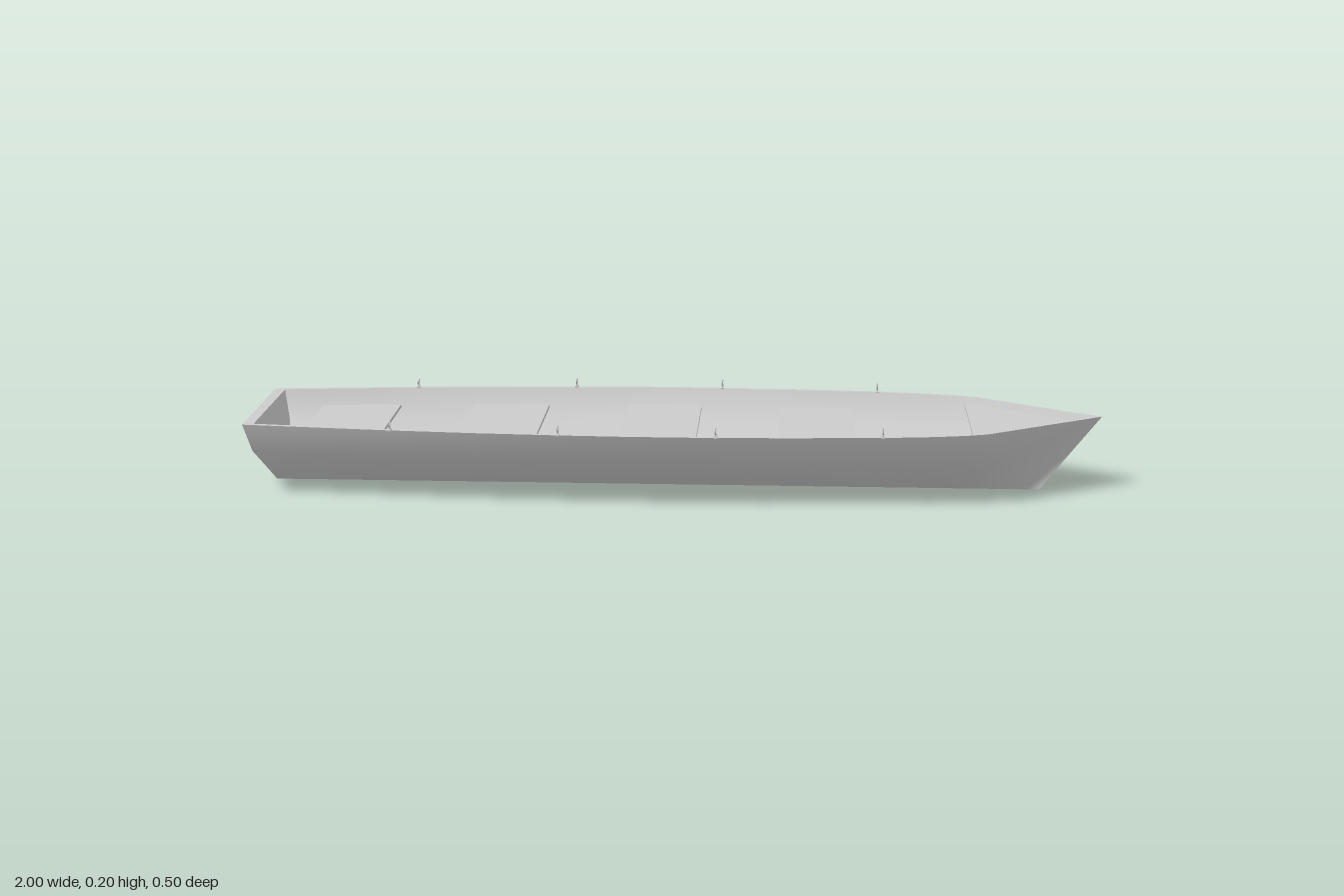
import * as THREE from 'three';
import { toCreasedNormals } from 'three/addons/utils/BufferGeometryUtils.js';

const material = new THREE.MeshStandardMaterial({ color: 0xcccccc, side: THREE.DoubleSide });
const TOP = 0.18, CHINE = 0.11;

// gunwale stations: [x, half width]
const stations = [[-1, 0.18], [-0.82, 0.198], [-0.65, 0.215], [-0.45, 0.23], [-0.26, 0.24], [-0.1, 0.245], [0.06, 0.245],
  [0.25, 0.239], [0.48, 0.225], [0.6, 0.21], [0.67, 0.196], [0.72, 0.18]];

function halfWidth(x) {
  const i = Math.max(1, stations.findIndex((s) => s[0] >= x));
  const [a, b] = [stations[i - 1], stations[i]];
  return THREE.MathUtils.mapLinear(x, a[0], b[0], a[1], b[1]);
}

// cross-sections from stern to stem: left gunwale, left chine, keel, right chine, right gunwale
function hullRows(inset) {
  const section = (xs, g, c) => [
    [xs[0], TOP, g], [xs[1], CHINE, c], [xs[2], inset * 1.2, 0], [xs[1], CHINE, -c], [xs[0], TOP, -g],
  ];
  const last = stations.length - 1;
  const rows = stations.map(([x, w], i) => {
    if (i === 0) return section([x, x + 0.015, x + 0.035].map((v) => v + inset * 2.5), w - inset, w * 0.85 - inset);
    if (i === last) return section([x, 0.77, 0.83 - inset], w - inset, 0.125 - inset);
    return section([x, x, x], w - inset, w * 0.85 - inset);
  });
  rows.push(section([1, 0.945, 0.86].map((v) => v - inset * 2), 0, 0));
  return rows;
}

// surface through rows of points
function grid(name, rows, flip) {
  const n = rows[0].length, index = [];
  for (let i = 0; i < rows.length - 1; i++) {
    for (let j = 0; j < n - 1; j++) {
      const a = i * n + j, b = a + n, c = a + 1, d = b + 1;
      if (flip) index.push(a, b, c, c, b, d);
      else index.push(a, c, b, c, d, b);
    }
  }
  const geometry = new THREE.BufferGeometry();
  geometry.setAttribute('position', new THREE.Float32BufferAttribute(rows.flat(2), 3));
  geometry.setIndex(index);
  const mesh = new THREE.Mesh(toCreasedNormals(geometry, 0.85), material);
  mesh.name = name;
  return mesh;
}

// flat board from an outline of [x, z] points, top at the given height
function board(name, outline, top, thickness) {
  const shape = new THREE.Shape(outline.map(([x, z]) => new THREE.Vector2(x, -z)));
  const geometry = new THREE.ExtrudeGeometry(shape, { depth: thickness, bevelEnabled: false });
  geometry.rotateX(-Math.PI / 2).translate(0, top - thickness, 0);
  const mesh = new THREE.Mesh(geometry, material);
  mesh.name = name;
  return mesh;
}

function oarlock(x, side) {
  const group = new THREE.Group();
  group.name = 'oarlock';
  const add = (name, geometry, y) => {
    const mesh = new THREE.Mesh(geometry, material);
    mesh.name = name;
    mesh.position.y = y;
    group.add(mesh);
    return mesh;
  };
  add('oarlockPlate', new THREE.BoxGeometry(0.008, 0.003, 0.02), 0.001);
  add('oarlockPin', new THREE.CylinderGeometry(0.002, 0.002, 0.01, 8), 0.004);
  const horns = add('oarlockHorns', new THREE.TorusGeometry(0.01, 0.0018, 6, 12, Math.PI), 0.018);
  horns.rotation.set(0, Math.PI / 2, Math.PI);
  group.position.set(x, TOP, side * (halfWidth(x) - 0.004));
  return group;
}

export function createModel() {
  const boat = new THREE.Group();
  boat.name = 'rowingBoat';

  // hull shells and the rim joining them
  const outer = hullRows(0), inner = hullRows(0.01);
  boat.add(grid('outerHull', outer, false), grid('innerHull', inner, true));
  boat.add(grid('leftGunwale', outer.map((r, i) => [r[0], inner[i][0]]), true));
  boat.add(grid('rightGunwale', outer.map((r, i) => [inner[i][4], r[4]]), true));

  // stern wall
  const wall = (r) => [[r[0], r[1], r[2]], [r[4], r[3], r[2]]];
  boat.add(grid('outerTransom', wall(outer[0]), true), grid('innerTransom', wall(inner[0]), false));
  boat.add(grid('transomRim', [[outer[0][0], outer[0][4]], [inner[0][0], inner[0][4]]], true));

  // benches, cut to the hull's width
  for (const [x0, x1] of [[-0.88, -0.69], [-0.51, -0.325], [-0.13, 0.05], [0.24, 0.42]]) {
    const w0 = halfWidth(x0) * 0.925 - 0.014, w1 = halfWidth(x1) * 0.925 - 0.014;
    boat.add(board('bench', [[x0, w0], [x1, w1], [x1, -w1], [x0, -w0]], 0.143, 0.008));
  }

  // small deck in the bow
  boat.add(board('bowDeck', [[0.69, 0.168], [0.73, 0.148], [0.95, 0], [0.73, -0.148], [0.69, -0.168]], 0.166, 0.006));

  for (const x of [-0.65, -0.26, 0.1, 0.48]) {
    for (const side of [1, -1]) boat.add(oarlock(x, side));
  }
  return boat;
}
